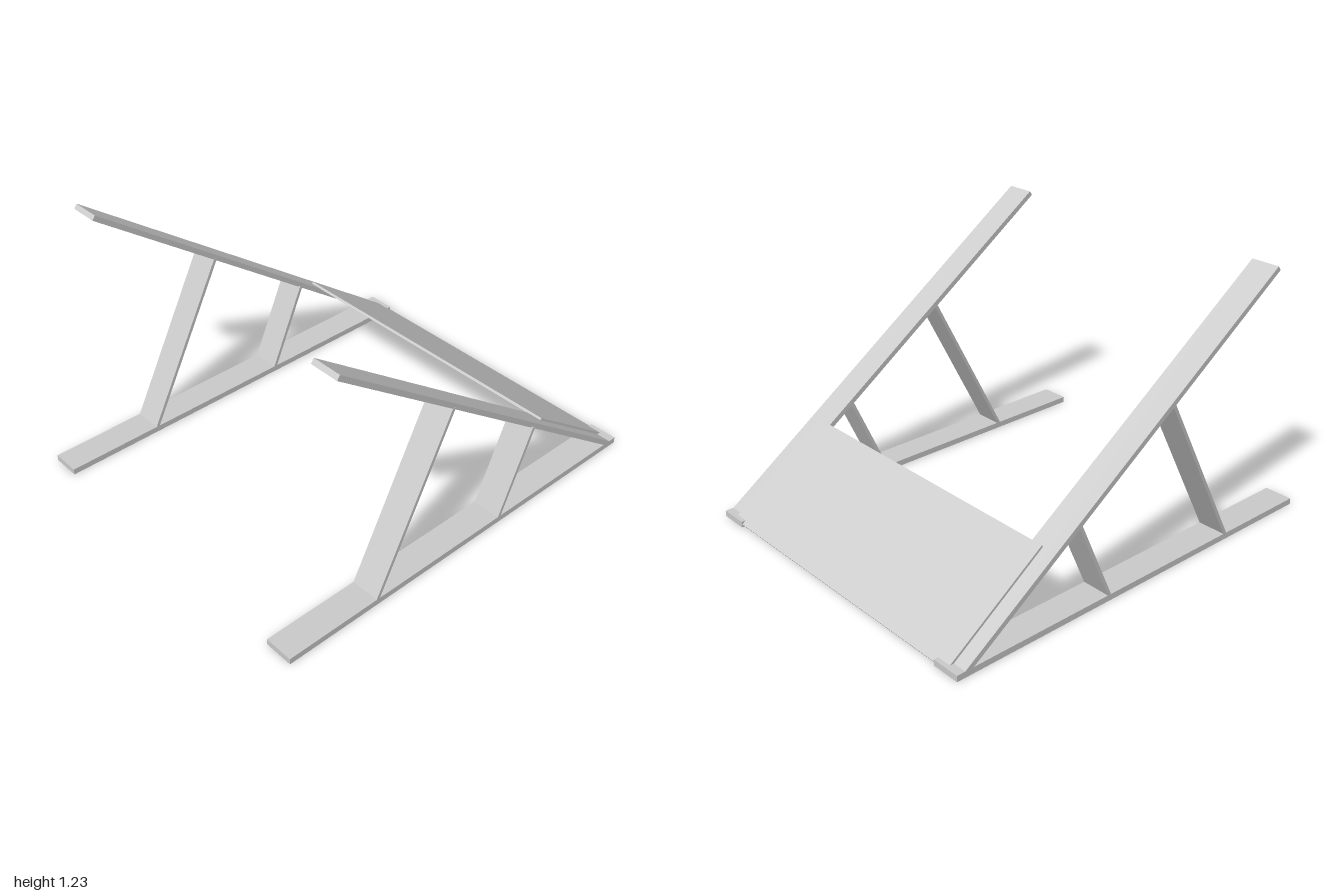
import * as THREE from 'three';

const material = new THREE.MeshStandardMaterial({ color: 0xcccccc, flatShading: true });

// Flat board between two [x, y, z] end centres; sideways drift in z is a shear
function board(name, a, b, thickness, width) {
  const dx = b[0] - a[0], dy = b[1] - a[1], dz = b[2] - a[2];
  const length = Math.hypot(dx, dy);
  const geometry = new THREE.BoxGeometry(length, thickness, width);
  const p = geometry.attributes.position;
  for (let i = 0; i < p.count; i++) p.setZ(i, p.getZ(i) + (p.getX(i) / length) * dz);
  geometry.rotateZ(Math.atan2(dy, dx));
  geometry.translate((a[0] + b[0]) / 2, (a[1] + b[1]) / 2, (a[2] + b[2]) / 2);
  geometry.computeVertexNormals();
  const mesh = new THREE.Mesh(geometry, material);
  mesh.name = name;
  return mesh;
}

export function createModel() {
  const model = new THREE.Group();
  model.name = 'inclinedFrame';
  const width = 0.137;

  // Two matching side frames
  for (const [name, z] of [['frontSideFrame', 0.763], ['backSideFrame', -0.743]]) {
    const side = new THREE.Group();
    side.name = name;
    side.add(
      board('baseRail', [-1, 0.014, z], [1, 0.014, z], 0.028, width),
      board('slopedRail', [-0.727, 1.218, z - 0.024], [0.965, 0.01, z], 0.024, width),
      board('longStrut', [-0.534, 0.022, z], [-0.126, 0.782, z - 0.014], 0.016, width),
      board('shortStrut', [0.193, 0.022, z], [0.374, 0.424, z], 0.016, width)
    );
    model.add(side);
  }

  // Panel lying across the lower ends of the sloped rails
  model.add(board('crossPanel', [0.51, 0.355, 0.008], [0.994, 0.01, 0.008], 0.012, 1.506));
  return model;
}
